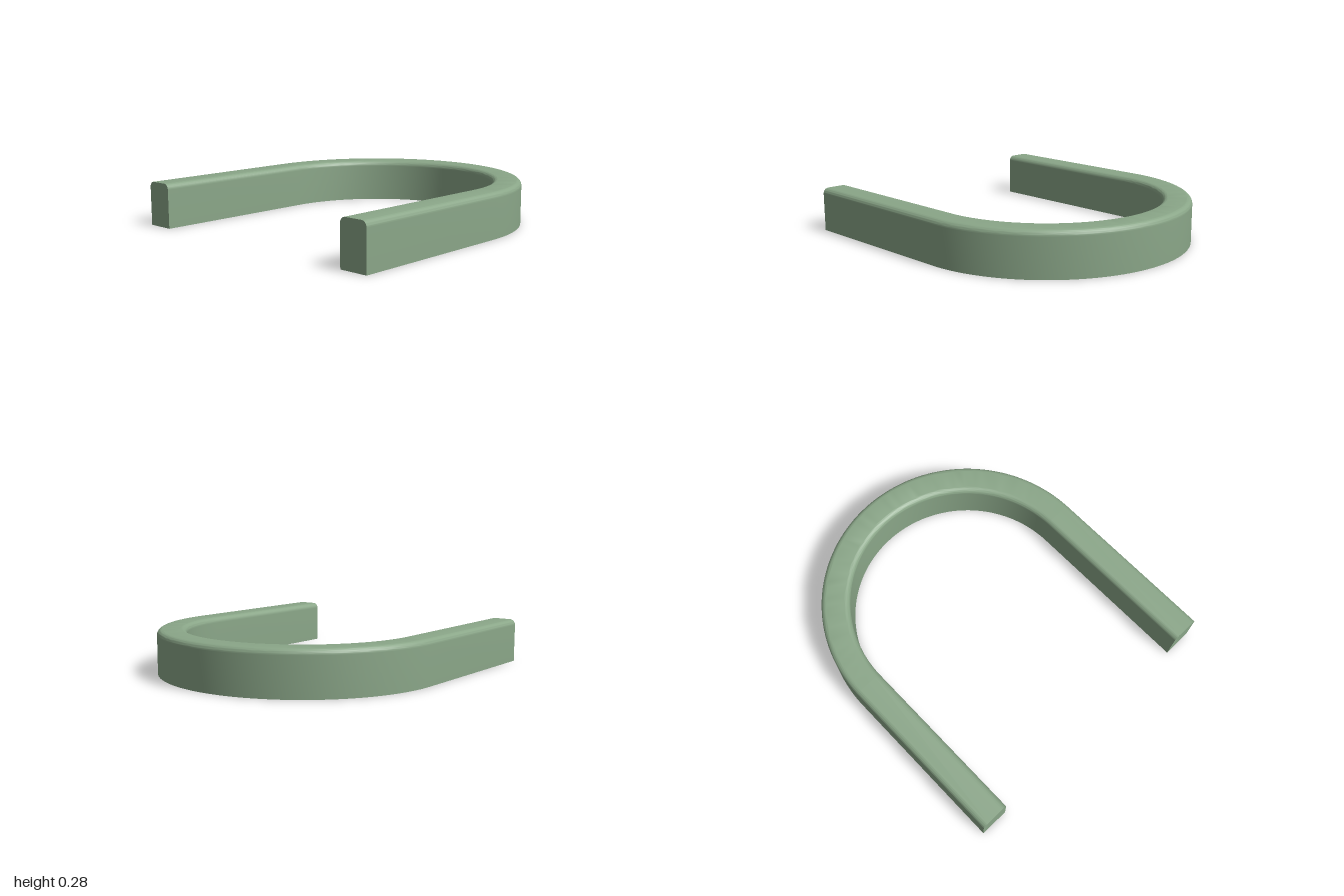
import * as THREE from 'three';
import { toCreasedNormals } from 'three/addons/utils/BufferGeometryUtils.js';

const INNER = 0.727, OUTER = 0.907, HEIGHT = 0.275, FILLET = 0.035;
const ARC_Z = OUTER - 1, FRONT_Z = 1;

// Bar cross-section (radius, y): square at the bottom, rounded along both top edges
function barProfile() {
  const shape = new THREE.Shape();
  shape.moveTo(INNER, 0);
  shape.lineTo(OUTER, 0);
  shape.lineTo(OUTER, HEIGHT - FILLET);
  shape.absarc(OUTER - FILLET, HEIGHT - FILLET, FILLET, 0, Math.PI / 2, false);
  shape.absarc(INNER + FILLET, HEIGHT - FILLET, FILLET, Math.PI / 2, Math.PI, false);
  const points = shape.getPoints(8);
  // Drop coincident neighbours
  return points.filter((p, i) => i === 0 || p.distanceTo(points[i - 1]) > 1e-5);
}

// Sweep the section up one arm, around the half circle and down the other arm
function sweepGeometry(profile, arcSegments) {
  const stations = [{ angle: 0, z: FRONT_Z }];
  for (let i = 0; i <= arcSegments; i++) {
    stations.push({ angle: (Math.PI * i) / arcSegments, z: ARC_Z });
  }
  stations.push({ angle: Math.PI, z: FRONT_Z });

  const positions = [], index = [], n = profile.length;
  for (const { angle, z } of stations) {
    for (const p of profile) {
      positions.push(p.x * Math.cos(angle), p.y, z - p.x * Math.sin(angle));
    }
  }
  for (let i = 0; i < stations.length - 1; i++) {
    for (let j = 0; j < n; j++) {
      const k = (j + 1) % n;
      const a = i * n + j, b = i * n + k, c = a + n, d = b + n;
      index.push(a, c, b, b, c, d);
    }
  }
  // Flat caps on the two arm ends
  const last = (stations.length - 1) * n;
  for (let j = 1; j < n - 1; j++) {
    index.push(0, j, j + 1, last, last + j + 1, last + j);
  }

  const geometry = new THREE.BufferGeometry();
  geometry.setAttribute('position', new THREE.Float32BufferAttribute(positions, 3));
  geometry.setIndex(index);
  return toCreasedNormals(geometry, Math.PI / 6);
}

export function createModel() {
  const group = new THREE.Group();
  group.name = 'horseshoeArch';
  const material = new THREE.MeshStandardMaterial({ color: 0x8aa688 });
  const bar = new THREE.Mesh(sweepGeometry(barProfile(), 72), material);
  bar.name = 'curvedBar';
  group.add(bar);
  return group;
}
